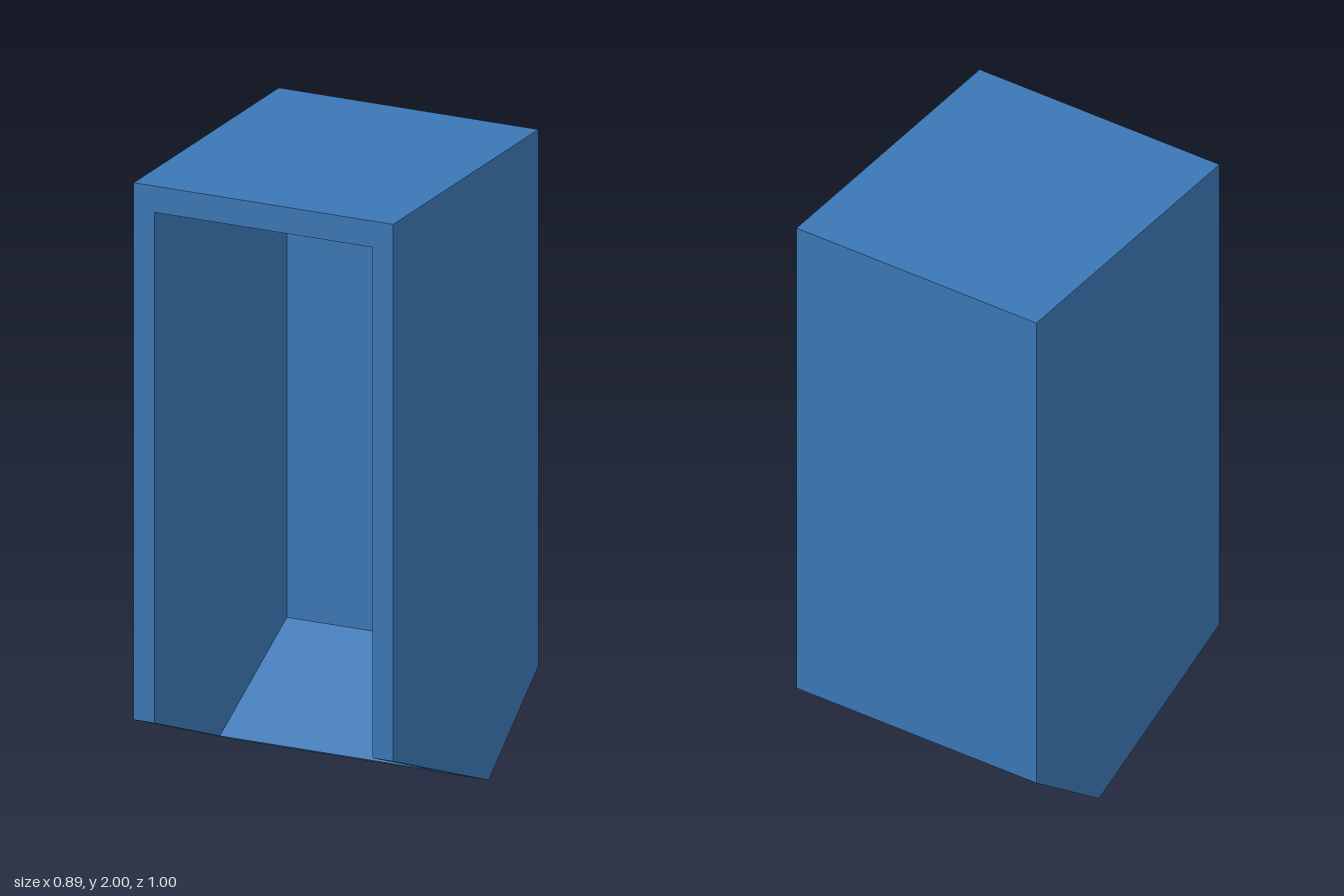
import * as THREE from 'three';

const OUTER_X = 0.443, INNER_X = 0.372;

// Side profiles as [z, y], counter-clockwise seen from +x
const outerProfile = [[0.5, 0.263], [-0.158, 0], [-0.5, 0.263], [-0.5, 2], [0.5, 2]];
const cavityProfile = [[0.5, 0.263], [0.05, 0.083], [-0.412, 0.325], [-0.412, 1.915], [0.5, 1.915]];

// Point at a given x on a profile
const at = (x, [z, y]) => [x, y, z];

// Flat faces from convex corner loops; flip turns them inside out
function buildMesh(name, loops, material, flip = false) {
  const positions = [];
  for (const loop of loops) {
    const p = flip ? [...loop].reverse() : loop;
    for (let i = 1; i < p.length - 1; i++) positions.push(...p[0], ...p[i], ...p[i + 1]);
  }
  const geometry = new THREE.BufferGeometry();
  geometry.setAttribute('position', new THREE.Float32BufferAttribute(positions, 3));
  geometry.computeVertexNormals();
  const mesh = new THREE.Mesh(geometry, material);
  mesh.name = name;
  return mesh;
}

// Both side faces plus the chosen edge faces of a profile swept across x
function prismLoops(profile, halfWidth, edges) {
  const right = profile.map((p) => at(halfWidth, p));
  const left = profile.map((p) => at(-halfWidth, p));
  const loops = [right, [...left].reverse()];
  for (const k of edges) {
    const n = (k + 1) % profile.length;
    loops.push([right[k], left[k], left[n], right[n]]);
  }
  return loops;
}

// U-shaped rim between one outer edge and one cavity edge
function rimLoops(a, b) {
  const path = (profile, x) =>
    [at(-x, profile[a]), at(-x, profile[b]), at(x, profile[b]), at(x, profile[a])];
  const outer = path(outerProfile, OUTER_X);
  const inner = path(cavityProfile, INNER_X);
  return [0, 1, 2].map((k) => [outer[k], inner[k], inner[k + 1], outer[k + 1]]);
}

export function createModel() {
  const blue = new THREE.MeshStandardMaterial({ color: 0x3a76b4 });
  blue.name = 'blue';

  const group = new THREE.Group();
  group.name = 'openCabinet';
  group.add(
    // Sides, back slope, back and top
    buildMesh('outerShell', prismLoops(outerProfile, OUTER_X, [1, 2, 3]), blue),
    // Inner walls, ramp, back and ceiling
    buildMesh('cavity', prismLoops(cavityProfile, INNER_X, [1, 2, 3]), blue, true),
    // Door frame around the front opening
    buildMesh('frontFrame', rimLoops(0, 4), blue),
    // Sloping underside around the floor opening
    buildMesh('undersideRim', rimLoops(0, 1), blue, true),
  );
  return group;
}
